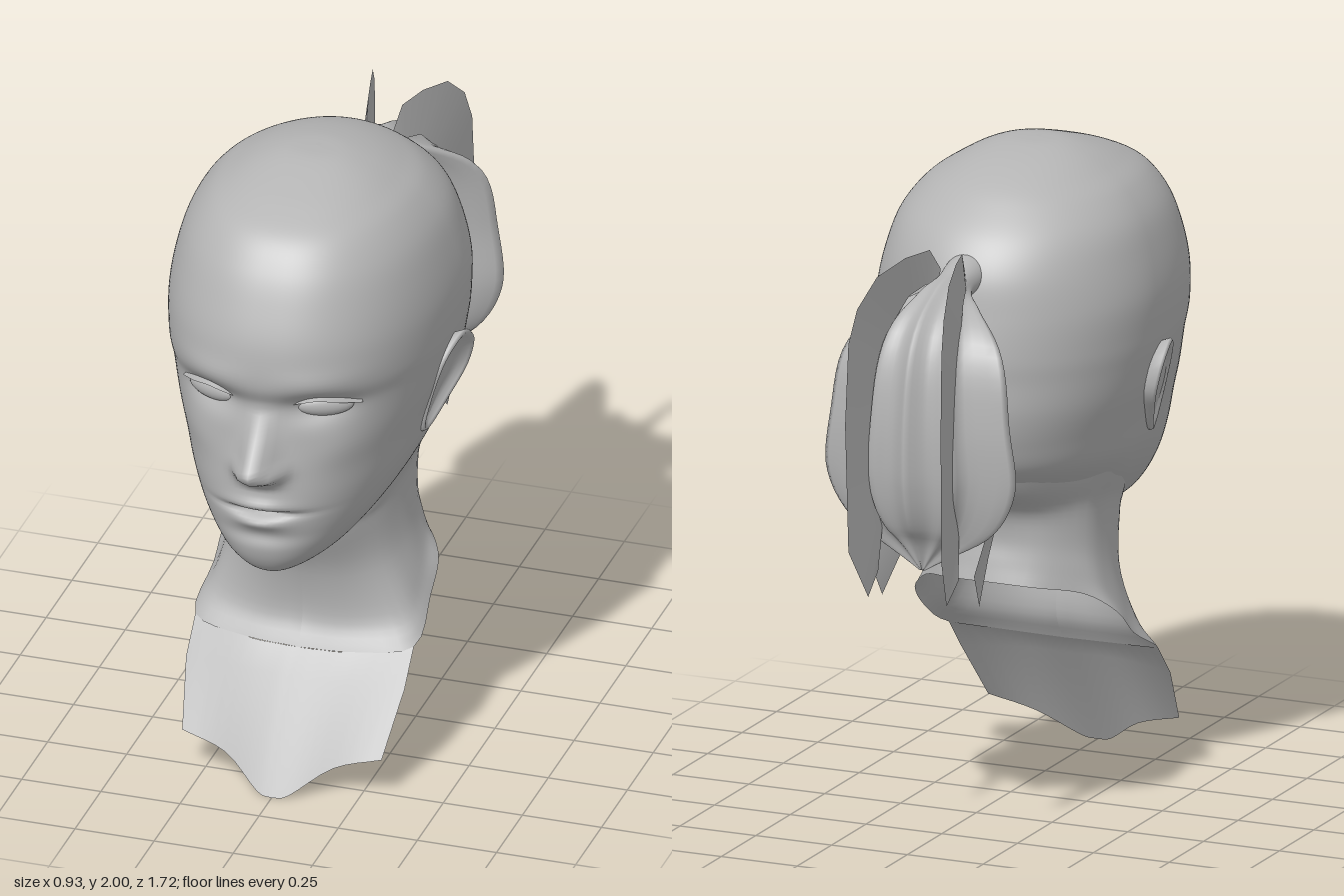
import * as THREE from 'three';

const skin = new THREE.MeshStandardMaterial({ color: 0xb4b4b4, side: THREE.DoubleSide });
skin.name = 'plain grey';

// Skin a list of point rows; closed joins each row's end to its start
function surface(rows, closed = false) {
  const n = rows[0].length, idx = [];
  for (let i = 0; i < rows.length - 1; i++) {
    for (let j = 0; j < (closed ? n : n - 1); j++) {
      const k = (j + 1) % n, a = i * n + j, b = i * n + k, c = a + n, d = b + n;
      idx.push(a, c, b, b, c, d);
    }
  }
  const g = new THREE.BufferGeometry();
  g.setAttribute('position', new THREE.Float32BufferAttribute(rows.flat(2), 3));
  g.setIndex(idx);
  g.computeVertexNormals();
  return g;
}

function part(name, geometry, parent) {
  const m = new THREE.Mesh(geometry, skin);
  m.name = name;
  parent.add(m);
  return m;
}

const spline = pts => new THREE.CatmullRomCurve3(pts.map(p => new THREE.Vector3(...p)), false, 'catmullrom', 0.5);
const sample = (pts, n) => spline(pts).getPoints(n).map(p => p.toArray());
const bump = (x, y, cx, cy, sx, sy) => Math.exp(-(((x - cx) / sx) ** 2) - ((y - cy) / sy) ** 2);
const flip = rows => rows.map(r => r.map(([x, y, z]) => [-x, y, z]));

// Height of the nose ridge above the face: [y, height]
const NOSE = [[1.40, 0], [1.37, 0.006], [1.30, 0.05], [1.24, 0.095], [1.20, 0.124], [1.17, 0.10], [1.14, 0.035], [1.11, 0]];
function noseHeight(y) {
  for (let i = 0; i < NOSE.length - 1; i++) {
    const [a, ha] = NOSE[i], [b, hb] = NOSE[i + 1];
    if (y <= a && y >= b) return ha + (hb - ha) * (a - y) / (a - b);
  }
  return 0;
}

// Forward relief of the face
function relief(px, y) {
  const x = Math.abs(px);
  const noseWidth = 0.032 + 0.025 * THREE.MathUtils.clamp((1.38 - y) / 0.2, 0, 1);
  return noseHeight(y) * Math.exp(-((x / noseWidth) ** 2))
    + 0.028 * bump(x, y, 0.055, 1.175, 0.024, 0.028)   // nostril wings
    - 0.036 * bump(x, y, 0.17, 1.385, 0.085, 0.045)    // eye sockets
    + 0.010 * bump(x, y, 0.17, 1.48, 0.12, 0.04)       // brows
    + 0.010 * bump(x, y, 0.24, 1.24, 0.08, 0.07)       // cheekbones
    + 0.016 * bump(x, y, 0, 1.057, 0.085, 0.02)        // upper lip
    - 0.030 * bump(x, y, 0, 1.03, 0.11, 0.011)         // mouth line
    + 0.018 * bump(x, y, 0, 0.997, 0.075, 0.02)        // lower lip
    - 0.012 * bump(x, y, 0, 0.945, 0.10, 0.025);       // dip above chin
}

// Horizontal head sections: y, front z, back z, z of widest point, half width
const HEAD = [
  [2.0, 0.19, 0.19, 0.19, 0], [1.995, 0.27, 0.10, 0.19, 0.09], [1.97, 0.37, -0.02, 0.18, 0.17],
  [1.93, 0.49, -0.13, 0.17, 0.245], [1.88, 0.59, -0.21, 0.15, 0.315], [1.80, 0.66, -0.30, 0.13, 0.375],
  [1.70, 0.71, -0.36, 0.12, 0.41], [1.58, 0.75, -0.385, 0.10, 0.432], [1.46, 0.757, -0.40, 0.10, 0.43],
  [1.38, 0.73, -0.40, 0.10, 0.42], [1.28, 0.735, -0.40, 0.10, 0.40], [1.18, 0.745, -0.38, 0.11, 0.37],
  [1.09, 0.752, -0.34, 0.13, 0.345], [1.02, 0.75, -0.25, 0.18, 0.315], [0.96, 0.745, -0.15, 0.24, 0.28],
  [0.90, 0.738, 0.0, 0.30, 0.235], [0.85, 0.72, 0.14, 0.37, 0.185], [0.81, 0.69, 0.28, 0.45, 0.12],
  [0.79, 0.65, 0.38, 0.52, 0.06], [0.785, 0.56, 0.54, 0.55, 0],
];

function headGeometry() {
  const steps = (HEAD.length - 1) * 8, sides = 128;
  const ends = sample(HEAD.map(([y, f, b]) => [f, y, b]), steps);
  const mids = sample(HEAD.map(([y, , , m, w]) => [m, y, w]), steps);
  return surface(ends.map(([front, y, back], i) => {
    const [mid, , width] = mids[i];
    return Array.from({ length: sides }, (_, j) => {
      const a = j / sides * Math.PI * 2, s = Math.sin(a), c = Math.cos(a);
      const e = c > 0 ? 2 / 2.3 : 1;
      const x = Math.max(width, 0) * Math.sign(s) * Math.abs(s) ** e;
      const z = c > 0 ? mid + (front - mid) * c ** e : mid + (mid - back) * c;
      return [x, y, c > 0 ? z + relief(x, y) * Math.min(1, c * 3) : z];
    });
  }), true);
}

// Neck half-loops from back to front, the last one being the open lower edge
const NECK = [
  [[0, 1.10, -0.325], [0.18, 1.10, -0.25], [0.315, 1.10, 0], [0.325, 1.08, 0.13], [0.285, 1.0, 0.25], [0.22, 0.92, 0.34], [0.11, 0.86, 0.42], [0, 0.84, 0.45]],
  [[0, 1.0, -0.26], [0.16, 1.0, -0.20], [0.28, 1.0, -0.01], [0.29, 0.98, 0.12], [0.27, 0.94, 0.22], [0.22, 0.87, 0.32], [0.12, 0.82, 0.40], [0, 0.805, 0.435]],
  [[0, 0.92, -0.165], [0.15, 0.92, -0.125], [0.255, 0.92, -0.01], [0.27, 0.90, 0.10], [0.26, 0.87, 0.20], [0.22, 0.82, 0.30], [0.12, 0.78, 0.39], [0, 0.77, 0.42]],
  [[0, 0.83, -0.14], [0.15, 0.83, -0.11], [0.25, 0.80, -0.01], [0.275, 0.75, 0.09], [0.27, 0.70, 0.18], [0.23, 0.66, 0.27], [0.12, 0.64, 0.34], [0, 0.64, 0.355]],
  [[0, 0.76, -0.155], [0.15, 0.75, -0.12], [0.26, 0.72, -0.02], [0.30, 0.64, 0.07], [0.31, 0.56, 0.17], [0.29, 0.50, 0.27], [0.14, 0.48, 0.325], [0, 0.48, 0.33]],
  [[0, 0.70, -0.17], [0.14, 0.69, -0.14], [0.26, 0.66, -0.04], [0.335, 0.59, 0.04], [0.343, 0.50, 0.14], [0.345, 0.41, 0.31], [0.17, 0.39, 0.365], [0, 0.385, 0.375]],
];

function neckGeometry() {
  const half = NECK.map(r => sample(r, 28));
  const columns = half[0].map((_, j) => sample(half.map(r => r[j]), 24));
  return surface([...flip(columns).reverse(), ...columns.slice(1)]);
}

// Chest panel: thin sheet hanging below the neck
function chestGeometry() {
  const rows = [
    [[0.345, 0.41, 0.31], [0.17, 0.39, 0.365], [0.06, 0.386, 0.374], [0, 0.385, 0.375]],
    [[0.345, 0.31, 0.40], [0.17, 0.32, 0.435], [0.06, 0.32, 0.44], [0, 0.32, 0.44]],
    [[0.315, 0.13, 0.53], [0.17, 0.09, 0.555], [0.05, 0.01, 0.62], [0, 0, 0.63]],
  ].map(r => {
    const side = sample(r, 12);
    return [...flip([side])[0], ...side.slice(0, -1).reverse()];
  });
  return surface(rows);
}

// Ear: nested loops from the root over the rim into the shallow hollow
const EAR = [[1.43, 0.155], [1.375, 0.085], [1.28, 0.08], [1.19, 0.15], [1.11, 0.235], [1.125, 0.26], [1.23, 0.27], [1.35, 0.25], [1.405, 0.21]];
function earGeometry() {
  const loop = new THREE.CatmullRomCurve3(EAR.map(([y, z]) => new THREE.Vector3(0, y, z)), true).getPoints(36).slice(0, -1);
  const rings = [[0.75, -0.09], [0.92, -0.035], [1, -0.008], [0.95, 0.002], [0.86, -0.004], [0.72, -0.018], [0.4, -0.024], [0, -0.018]];
  return surface(rings.map(([k, dx]) => loop.map(p => {
    const y = 1.27 + (p.y - 1.27) * k, z = 0.18 + (p.z - 0.18) * k;
    return [0.36 + (y - 1.12) * 0.25 + (0.25 - z) * 0.25 + dx, y, z];
  })), true);
}

// Ponytail core path: z, y, scale of section, blend from round to winged
const TAIL = [
  [-0.22, 1.71, 0.6, 0], [-0.34, 1.70, 0.5, 0], [-0.42, 1.685, 0.42, 0.1], [-0.50, 1.64, 0.55, 0.6],
  [-0.575, 1.53, 0.82, 1], [-0.60, 1.34, 0.95, 1], [-0.59, 1.14, 1, 1], [-0.595, 0.97, 0.68, 1], [-0.64, 0.86, 0.03, 1],
];
// Half section of the core: sideways, outward
const WINGED = [[0, -0.11], [0.09, -0.12], [0.16, -0.04], [0.31, 0.06], [0.17, 0.09], [0.13, 0.14], [0.06, 0.14], [0, 0.185]];
function tailGeometry() {
  const path = spline(TAIL.map(([z, y]) => [0, y, z]));
  const size = spline(TAIL.map(([, , k, blend]) => [k, blend, 0]));
  const half = sample(WINGED.map(([u, v]) => [u, v, 0]), 28);
  const section = [...half, ...flip([half.slice(1, -1)])[0].reverse()];
  return surface(Array.from({ length: 49 }, (_, i) => {
    const t = i / 48, p = path.getPoint(t), g = path.getTangent(t), s = size.getPoint(t);
    return section.map(([su, sv], j) => {
      const a = j / section.length * Math.PI * 2;
      const u = s.x * THREE.MathUtils.lerp(0.13 * Math.sin(a), su, s.y);
      const v = s.x * THREE.MathUtils.lerp(-0.12 * Math.cos(a), sv, s.y);
      return [u, p.y - g.z * v, p.z + g.y * v];
    });
  }), true);
}

// Flat hair locks, each stretched between an outer and an inner edge
const fan = (pts, x0, dx) => pts.map(([r, y]) => [x0 + dx * r, y, -0.42 - r]);
const LOCKS = {
  BackLock: [
    fan([[0, 1.74], [0.05, 1.81], [0.16, 1.81], [0.29, 1.78], [0.38, 1.70], [0.42, 1.60], [0.435, 1.35], [0.42, 0.95], [0.33, 0.79]], 0.04, 0.27),
    fan([[0, 1.66], [0.05, 1.70], [0.12, 1.68], [0.18, 1.62], [0.21, 1.55], [0.23, 1.45], [0.24, 1.28], [0.23, 1.0], [0.25, 0.85]], 0.05, 0.33),
  ],
  FrontLock: [
    [[0.04, 1.68, -0.43], [0.10, 1.63, -0.50], [0.16, 1.52, -0.56], [0.19, 1.36, -0.59], [0.20, 1.15, -0.61], [0.20, 0.97, -0.63], [0.17, 0.86, -0.64], [0.16, 0.75, -0.58]],
    [[0.04, 1.60, -0.38], [0.07, 1.57, -0.43], [0.09, 1.48, -0.445], [0.11, 1.32, -0.41], [0.13, 1.12, -0.38], [0.14, 0.98, -0.40], [0.14, 0.87, -0.47], [0.16, 0.75, -0.58]],
  ],
};

// Upper lid edge and its overhanging rim
const LID = [
  [[0.085, 1.395, 0.69], [0.13, 1.425, 0.69], [0.175, 1.435, 0.68], [0.23, 1.42, 0.645], [0.275, 1.395, 0.60]],
  [[0.085, 1.39, 0.705], [0.13, 1.412, 0.722], [0.175, 1.42, 0.712], [0.23, 1.407, 0.675], [0.285, 1.388, 0.615]],
];

export function createModel() {
  const model = new THREE.Group();
  model.name = 'bust';
  part('head', headGeometry(), model);
  part('neck', neckGeometry(), model);
  part('chestPanel', chestGeometry(), model);
  part('ponytailCore', tailGeometry(), model);

  // Paired parts
  for (const side of [1, -1]) {
    const label = side > 0 ? 'left' : 'right';
    const mirror = rows => (side > 0 ? rows : flip(rows));
    const ear = earGeometry();
    if (side < 0) {
      const p = ear.attributes.position;
      for (let i = 0; i < p.count; i++) p.setX(i, -p.getX(i));
      ear.computeVertexNormals();
    }
    part(label + 'Ear', ear, model);
    const eye = part(label + 'Eye', new THREE.SphereGeometry(1, 24, 16), model);
    eye.scale.set(0.088, 0.036, 0.03);
    eye.position.set(side * 0.178, 1.385, 0.655);
    eye.rotation.y = side * 0.42;
    part(label + 'UpperLid', surface(mirror(LID.map(r => sample(r, 12)))), model);
    for (const [name, edges] of Object.entries(LOCKS)) part(label + name, surface(mirror(edges)), model);
  }
  return model;
}
